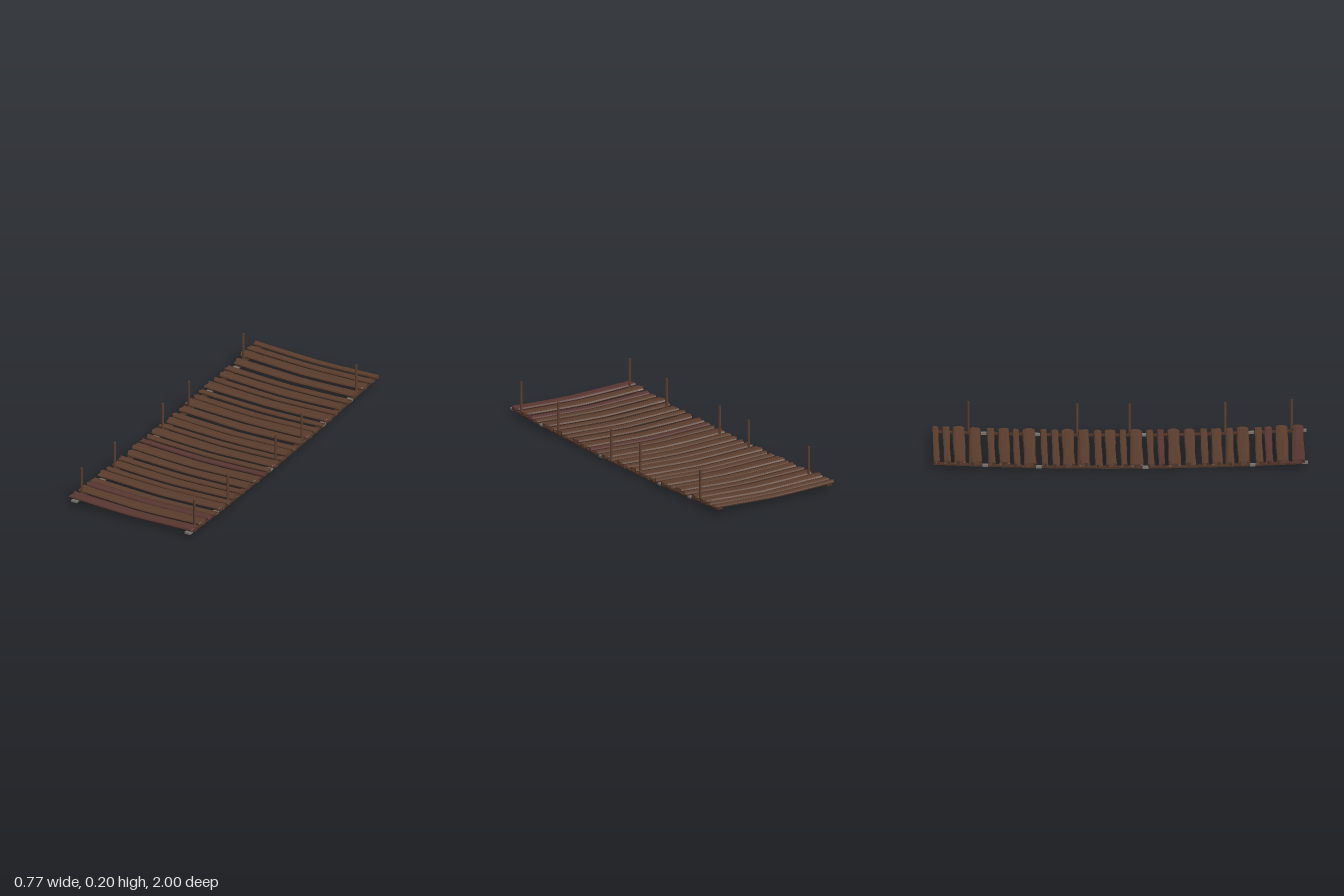
import * as THREE from 'three';

const mat = (name, color) => {
  const m = new THREE.MeshStandardMaterial({ color, flatShading: true });
  m.name = name;
  return m;
};

// sag of the whole bridge along its length
const sag = (z) => 0.025 * z * z;

// [back z, front z] of each plank
const PLANKS = [
  [-1, -0.965], [-0.945, -0.905], [-0.892, -0.825], [-0.802, -0.74], [-0.708, -0.667],
  [-0.65, -0.587], [-0.571, -0.534], [-0.518, -0.449], [-0.423, -0.386], [-0.365, -0.323],
  [-0.31, -0.242], [-0.222, -0.162], [-0.138, -0.095], [-0.08, -0.02], [0, 0.037],
  [0.053, 0.122], [0.143, 0.181], [0.2, 0.238], [0.254, 0.323], [0.344, 0.403],
  [0.43, 0.471], [0.487, 0.546], [0.571, 0.608], [0.624, 0.692], [0.72, 0.762],
  [0.772, 0.815], [0.83, 0.9], [0.92, 0.985],
];
const REDDISH = [17, 25, 27];

// one worn plank: box bent down in the middle, bevelled, with rough ends
function plankGeometry(z0, z1, i) {
  const g = new THREE.BoxGeometry(1, 1, 1, 16, 2, 4);
  const p = g.attributes.position;
  const w = z1 - z0, zc = (z0 + z1) / 2;
  const kind = w < 0.05 ? 'narrow' : w < 0.064 ? 'medium' : 'wide';
  const [left, right] = { narrow: [0.385, 0.38], medium: [0.377, 0.372], wide: [0.388, 0.38] }[kind];
  const h = kind === 'narrow' ? 0.018 : 0.021;
  for (let k = 0; k < p.count; k++) {
    const u = p.getX(k) * 2, v = p.getY(k) * 2, t = p.getZ(k) * 2;
    let x = u < 0 ? u * left : u * right;
    if (Math.abs(u) > 0.99) {
      if (kind === 'wide' && u > 0) x -= 0.016 * t * t;
      else x -= Math.sign(u) * 0.012 * (0.5 + 0.5 * Math.sin(t * 3.3 + i * 1.9));
    }
    const worn = 1 - 0.05 * (1 + Math.sin(u * 3.5 + i * 2.1)) * (Math.abs(u) < 0.95 ? 1 : 0.3);
    const bevel = Math.abs(v) > 0.5 ? 0.86 : 1;
    const crown = Math.abs(t) > 0.9 ? 0.72 : 1;
    const bend = 0.012 * (1 - Math.pow(Math.abs(u), 1.3));
    p.setXYZ(k, x, sag(zc) + 0.012 + h / 2 + v * crown * h / 2 - bend + (i % 3) * 0.001,
      Math.max(-1, zc + t * w / 2 * worn * bevel));
  }
  g.computeVertexNormals();
  return g;
}

// sagging strip of rail between two z positions
function railGeometry(z0, z1, width, low, high) {
  const g = new THREE.BoxGeometry(width, 1, 1, 1, 1, Math.max(1, Math.round((z1 - z0) * 12)));
  const p = g.attributes.position;
  for (let k = 0; k < p.count; k++) {
    const z = z0 + (p.getZ(k) + 0.5) * (z1 - z0);
    p.setY(k, sag(z) + (p.getY(k) > 0 ? high : low));
    p.setZ(k, z);
  }
  g.computeVertexNormals();
  return g;
}

export function createModel() {
  const bridge = new THREE.Group();
  bridge.name = 'plankBridge';
  const wood = mat('brownWood', 0x5a3d2d);
  const redWood = mat('reddishWood', 0x583630);
  const darkWood = mat('darkWood', 0x4e3326);
  const grey = mat('greyMetal', 0x77736e);
  const add = (parent, name, geo, m) => {
    const mesh = new THREE.Mesh(geo, m);
    mesh.name = name;
    parent.add(mesh);
    return mesh;
  };

  // walking surface
  const deck = new THREE.Group();
  deck.name = 'deck';
  bridge.add(deck);
  PLANKS.forEach(([a, b], i) =>
    add(deck, 'plank', plankGeometry(a, b, i), REDDISH.includes(i) ? redWood : wood));

  // rails, metal joints and posts on each side
  for (const side of [-1, 1]) {
    const group = new THREE.Group();
    group.name = side > 0 ? 'leftSide' : 'rightSide';
    bridge.add(group);
    add(group, 'rail', railGeometry(-1, 0.985, 0.032, 0.003, 0.0115), darkWood).position.x = side * 0.35;
    for (const z of [-0.724, -0.437, 0.132, 0.705, 0.985])
      add(group, 'railJoint', railGeometry(z - 0.015, z + 0.015, 0.034, 0.002, 0.0125), grey).position.x = side * 0.35;
    for (const z of [0.92, 0.565, 0.055, -0.225, -0.805]) {
      const post = add(group, 'post', new THREE.CylinderGeometry(0.0068, 0.0068, 0.17, 8), wood);
      post.position.set(side * 0.348, sag(z) + 0.095, z);
    }
  }
  return bridge;
}
